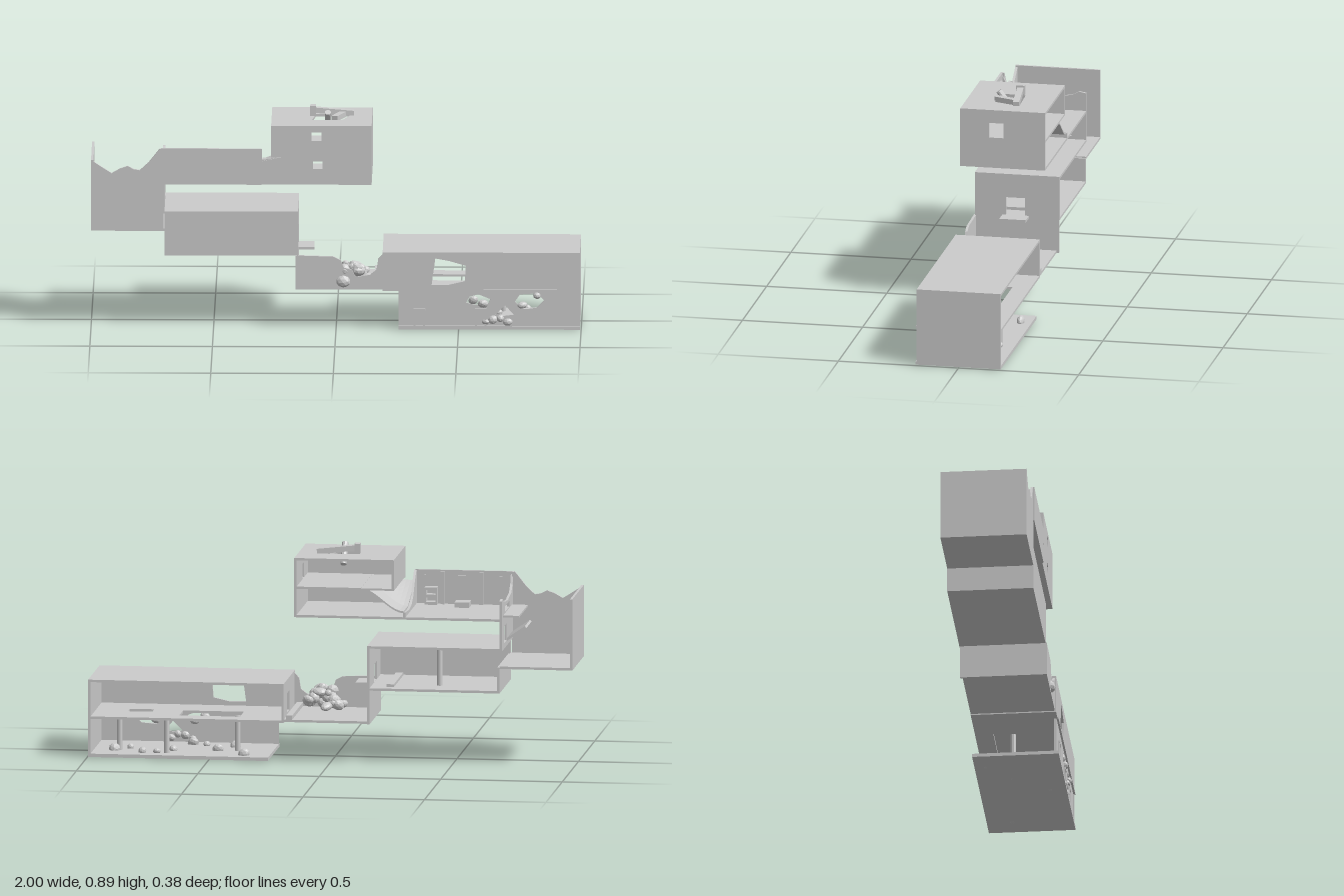
import * as THREE from 'three';

const T = 0.01; // wall thickness

export function createModel() {
  const model = new THREE.Group();
  const mat = new THREE.MeshStandardMaterial({ color: 0xcccccc, flatShading: true, side: THREE.DoubleSide });

  const add = (name, geo) => {
    const mesh = new THREE.Mesh(geo, mat);
    mesh.name = name;
    model.add(mesh);
    return mesh;
  };
  const box = (name, x0, x1, y0, y1, z0, z1) =>
    add(name, new THREE.BoxGeometry(x1 - x0, y1 - y0, z1 - z0)
      .translate((x0 + x1) / 2, (y0 + y1) / 2, (z0 + z1) / 2));
  const rect = (a0, a1, b0, b1) => [[a0, b0], [a1, b0], [a1, b1], [a0, b1]];
  const plate = (outline, holes = [], depth = T) => {
    const v = (pts) => pts.map(([a, b]) => new THREE.Vector2(a, b));
    const shape = new THREE.Shape(v(outline));
    holes.forEach((h) => shape.holes.push(new THREE.Path(v(h))));
    return new THREE.ExtrudeGeometry(shape, { depth, bevelEnabled: false });
  };
  // outline in (x, y), outer face at z
  const frontWall = (name, z, outline, holes) => add(name, plate(outline, holes).translate(0, 0, z - T));
  // outline in (z, y), right face at x
  const sideWall = (name, x, outline, holes) =>
    add(name, plate(outline, holes).rotateY(-Math.PI / 2).translate(x, 0, 0));
  // outline in (x, z), upper face at y
  const floor = (name, y, outline, holes) =>
    add(name, plate(outline, holes).rotateX(Math.PI / 2).translate(0, y, 0));
  const post = (x, y0, y1, z, r = 0.011) =>
    add('pillar', new THREE.CylinderGeometry(r, r, y1 - y0, 10).translate(x, (y0 + y1) / 2, z));
  let seed = 7;
  const rand = () => (seed = (seed * 16807) % 2147483647) / 2147483647;
  const rock = (x, y, z, r) => {
    const m = add('rubble', new THREE.IcosahedronGeometry(r, 1));
    m.position.set(x, y, z);
    m.scale.set(0.8 + rand() * 0.5, 0.6 + rand() * 0.4, 0.8 + rand() * 0.4);
    m.rotation.set(rand() * 3, rand() * 3, 0);
  };

  // Two-storey block at the lower right
  const F = 0.175, B = -0.175;
  box('groundFloor', 0.255, 0.995, 0, 0.014, B, 0.18);
  floor('upperFloor', 0.168, rect(0.19, 0.995, B, F),
    [rect(0.38, 0.63, -0.1, 0.02), rect(0.75, 0.85, -0.03, 0.03)]);
  floor('lowerRoof', 0.32, rect(0.19, 0.995, B, F));
  sideWall('endWall', 0.995, rect(B, F, 0, 0.32));
  sideWall('doorWall', 0.2, rect(B, F, 0.16, 0.32), [rect(-0.07, 0, 0.185, 0.265)]);
  frontWall('upperFrontWall', F, rect(0.19, 0.995, 0.16, 0.32),
    [[[0.39, 0.185], [0.46, 0.185], [0.525, 0.2], [0.53, 0.265], [0.46, 0.285], [0.405, 0.295]]]);
  frontWall('lowerFrontWall', F - 0.004, rect(0.255, 0.995, 0, 0.165), [
    [[0.53, 0.11], [0.57, 0.1], [0.62, 0.1], [0.63, 0.125], [0.58, 0.145], [0.545, 0.135]],
    [[0.73, 0.115], [0.76, 0.085], [0.82, 0.09], [0.85, 0.12], [0.82, 0.15], [0.75, 0.145]],
    [[0.65, 0.06], [0.685, 0.055], [0.725, 0.06], [0.69, 0.1]],
  ]);
  box('ledge', 0.255, 0.995, 0.158, 0.166, F - 0.01, F + 0.004);
  for (const x of [0.34, 0.59, 0.78]) { // raised door frames
    for (const s of [-1, 1]) box('doorJamb', x + s * 0.019 - 0.004, x + s * 0.019 + 0.004, 0.014, 0.085, F - 0.012, F + 0.003);
    box('doorLintel', x - 0.024, x + 0.024, 0.078, 0.087, F - 0.012, F + 0.004);
  }
  [[0.68, -0.11], [0.4, -0.02], [0.88, -0.06]].forEach(([x, z]) => post(x, 0.014, 0.16, z));
  for (let i = 0; i < 10; i++) rock(0.36 + i * 0.06, 0.02, -0.13 + rand() * 0.26, 0.012 + rand() * 0.012);
  [[0.64, 0.04], [0.67, 0.045], [0.7, 0.03], [0.61, 0.03], [0.56, 0.12], [0.6, 0.105], [0.76, 0.1], [0.82, 0.14]]
    .forEach(([x, y]) => rock(x, y, F - 0.008, 0.018));

  // Ruined open room that joins the lower blocks
  floor('ruinFloor', 0.173, rect(-0.165, 0.2, B, F - 0.005));
  frontWall('ruinFrontWall', F - 0.005, [[-0.165, 0.163], [0.19, 0.163], [0.19, 0.31], [0.172, 0.29], [0.165, 0.245],
    [0.14, 0.225], [0.08, 0.215], [0.065, 0.245], [0.03, 0.255], [0.02, 0.285], [-0.01, 0.3], [-0.165, 0.305]]);
  sideWall('ruinSideWall', -0.155, rect(-0.185, 0.165, 0.163, 0.31));
  box('lowBeam', 0.155, 0.18, 0.173, 0.19, B, F - 0.02);
  for (let i = 0; i < 26; i++) {
    const h = rand();
    rock(0.06 + (rand() - 0.5) * 0.16 * (1.2 - h), 0.185 + h * 0.07, 0.1 + (rand() - 0.5) * 0.12, 0.016 + rand() * 0.012);
  }
  rock(0.1, 0.22, 0.12, 0.03);

  // Middle room with a door to a landing
  const f = 0.165, b = -0.188;
  floor('middleFloor', 0.313, rect(-0.7, -0.155, b, f));
  floor('middleRoof', 0.487, rect(-0.71, -0.155, b, f));
  frontWall('middleFrontWall', f, rect(-0.7, -0.155, 0.303, 0.487));
  sideWall('middleDoorWall', -0.155, rect(b, f, 0.303, 0.487), [rect(-0.045, 0.035, 0.314, 0.388)]);
  sideWall('middleLeftWall', -0.69, rect(b, f, 0.303, 0.41));
  box('landing', -0.155, -0.09, 0.303, 0.314, -0.06, 0.05);
  box('innerPlank', -0.26, -0.23, 0.313, 0.325, -0.15, 0.14);
  post(-0.44, 0.313, 0.478, -0.08);

  // Tall ruined room at the far left
  floor('leftFloor', 0.415, rect(-1, -0.7, b, f));
  sideWall('leftOuterWall', -0.99, rect(b, f, 0.405, 0.7));
  frontWall('leftBrokenWall', f, [[-1, 0.405], [-0.705, 0.405], [-0.705, 0.75], [-0.72, 0.747], [-0.765, 0.69],
    [-0.8, 0.658], [-0.825, 0.662], [-0.85, 0.675], [-0.88, 0.665], [-0.915, 0.645], [-0.95, 0.667], [-1, 0.7]]);
  sideWall('leftInnerWall', -0.7, rect(b, f, 0.478, 0.61), [rect(-0.13, -0.04, 0.5, 0.57)]);
  const ramp = box('fallenPlank', -0.05, 0.05, -0.005, 0.005, -0.08, 0.08);
  ramp.position.set(-0.745, 0.525, 0.05);
  ramp.rotation.z = -0.6;

  // Roofless upper room
  floor('topFloor', 0.61, rect(-0.71, 0.145, b, f));
  frontWall('roomFrontWall', 0.17, rect(-0.715, -0.305, 0.6, 0.75));
  sideWall('brokenDivider', -0.7, [[b, 0.6], [f, 0.6], [f, 0.75], [0.14, 0.7], [0.1, 0.672], [0, 0.66],
    [-0.07, 0.665], [-0.13, 0.675], [-0.16, 0.69], [b, 0.685]], [rect(-0.1, 0.04, 0.625, 0.648)]);
  box('outerLedge', -0.775, -0.71, 0.612, 0.62, -0.15, 0.12);
  for (const x of [-0.58, -0.42]) box('pilaster', x - 0.008, x + 0.008, 0.61, 0.745, 0.145, 0.162);
  box('chest', -0.54, -0.48, 0.61, 0.632, 0.07, 0.13);
  for (const y of [0.61, 0.64, 0.67]) box('shelf', -0.4, -0.35, y, y + 0.012, 0.125, 0.162);
  for (const x of [-0.4, -0.356]) box('shelfSide', x, x + 0.006, 0.61, 0.68, 0.125, 0.162);
  for (const x of [-0.36, -0.5, -0.65]) box('wallNiche', x - 0.016, x + 0.016, 0.7, 0.73, 0.152, 0.162);
  sideWall('slopedDivider', -0.303, [[b, 0.6], [0.168, 0.6], [0.168, 0.75], [0.14, 0.742], [0.1, 0.71],
    [0.05, 0.655], [0, 0.63], [-0.08, 0.622], [b, 0.63]]);

  // Two-storey block at the top
  frontWall('topLowerFrontWall', f, [[-0.31, 0.6], [0.145, 0.6], [0.145, 0.722], [-0.19, 0.722], [-0.31, 0.695]],
    [rect(-0.095, -0.055, 0.665, 0.697)]);
  frontWall('topUpperFrontWall', f, rect(-0.265, 0.145, 0.715, 0.845), [rect(-0.1, -0.06, 0.782, 0.818)]);
  sideWall('topEndWall', 0.145, rect(b, f, 0.6, 0.845), [rect(-0.015, 0.045, 0.728, 0.79)]);
  floor('topMiddleFloor', 0.727, rect(-0.13, 0.145, b, f));
  sideWall('topLeftWall', -0.255, rect(b, f, 0.718, 0.845));
  floor('topRoof', 0.845, rect(-0.265, 0.145, b, f),
    [[[-0.085, -0.06], [0.065, -0.065], [0.025, 0.045], [-0.1, 0.055]]]);

  // Sagging part of the middle floor, deeper toward the back
  const sag = new THREE.BoxGeometry(0.175, 0.008, 0.345, 10, 1, 8);
  const p = sag.attributes.position;
  for (let i = 0; i < p.count; i++) {
    const t = 0.5 - p.getX(i) / 0.175;
    const back = 0.5 - p.getZ(i) / 0.345;
    const drop = (0.022 + 0.07 * Math.min(1, back * 1.6)) * t * t * (3 - 2 * t);
    p.setY(i, p.getY(i) - drop);
  }
  add('saggingFloor', sag.translate(-0.2175, 0.722, -0.012));
  box('upperRoomFloor', -0.265, -0.13, 0.718, 0.726, b, f);

  // Fallen beams around the roof hole
  const beam = (x, y, z, len, ry, rz) => {
    const m = add('fallenBeam', new THREE.BoxGeometry(len, 0.022, 0.026));
    m.position.set(x, y, z);
    m.rotation.set(0, ry, rz);
  };
  beam(-0.015, 0.861, -0.045, 0.17, 0.08, -0.1);
  box('beamHead', -0.108, -0.085, 0.845, 0.887, -0.056, -0.02);
  const stub = add('leaningPost', new THREE.CylinderGeometry(0.013, 0.013, 0.1, 10));
  stub.position.set(-0.035, 0.835, 0.01);
  stub.rotation.x = 0.65;
  beam(0.01, 0.85, 0.0, 0.1, 1.2, 0);

  return model;
}
